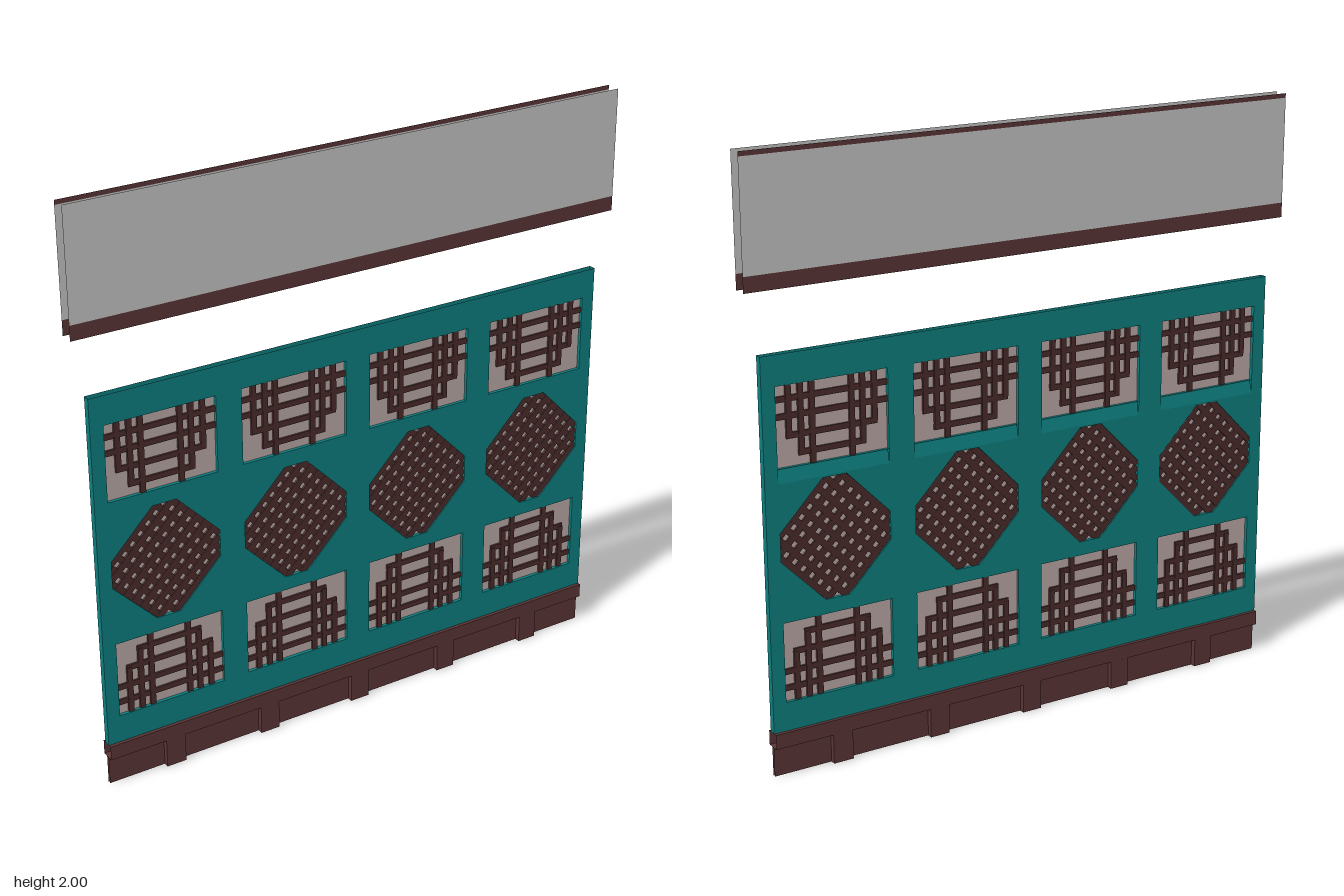
import * as THREE from 'three';

export function createModel() {
  const mat = (name, color) => {
    const m = new THREE.MeshStandardMaterial({ color, side: THREE.DoubleSide });
    m.name = name;
    return m;
  };
  const teal = mat('teal paint', 0x0d7f80);
  const brown = mat('brown wood', 0x5a3434);
  const dark = mat('dark lattice wood', 0x4a2b2b);
  const grey = mat('grey board', 0xc4c4c4);
  const paper = mat('window paper', 0xbba9a6);

  const root = new THREE.Group();
  root.name = 'latticeScreen';
  const add = (name, geo, material, x = 0, y = 0, z = 0, parent = root) => {
    const m = new THREE.Mesh(geo, material);
    m.name = name;
    m.position.set(x, y, z);
    parent.add(m);
    return m;
  };
  const sheet = (name, material, w, y0, y1, z, x = 0) => {
    const m = add(name, new THREE.PlaneGeometry(w, y1 - y0), material, x, (y0 + y1) / 2, z);
    if (z < 0) m.rotation.y = Math.PI;
    return m;
  };
  const box = (w, h, d) => new THREE.BoxGeometry(w, h, d);
  const vecs = (pts) => pts.map(([x, y]) => new THREE.Vector2(x, y));

  // Open band of quads running along an outline, from z = -d to z = d
  const band = (pts, d) => {
    const pos = [];
    pts.forEach(([ax, ay], i) => {
      const [bx, by] = pts[(i + 1) % pts.length];
      pos.push(ax, ay, -d, bx, by, -d, bx, by, d, ax, ay, -d, bx, by, d, ax, ay, d);
    });
    const g = new THREE.BufferGeometry();
    g.setAttribute('position', new THREE.Float32BufferAttribute(pos, 3));
    g.computeVertexNormals();
    return g;
  };

  const D = 0.012, HW = 0.192, WALL = 0.95;
  const columns = [-0.712, -0.237, 0.237, 0.712];
  const upper = [1.017, 1.279], lower = [0.247, 0.514];
  const octY = 0.763, octH = 0.201;
  const rect = (cx, [y0, y1]) => [[cx - HW, y0], [cx + HW, y0], [cx + HW, y1], [cx - HW, y1]];
  const octagon = (cx, cy) => [[0.042, -octH], [HW, -0.047], [HW, 0.047], [0.042, octH],
    [-0.042, octH], [-HW, 0.047], [-HW, -0.047], [-0.042, -octH]].map(([x, y]) => [cx + x, cy + y]);

  // Hollow wall: front and back skins with openings, plus end strips
  const skin = (upperBottom) => {
    const s = new THREE.Shape(vecs(rect(0, [0.15, 1.378]).map(([x, y]) => [Math.sign(x) * WALL, y])));
    for (const c of columns) {
      for (const o of [rect(c, [upperBottom, upper[1]]), octagon(c, octY), rect(c, lower)]) {
        s.holes.push(new THREE.Path(vecs(o)));
      }
    }
    return new THREE.ShapeGeometry(s);
  };
  add('wallFront', skin(upper[0]), teal, 0, 0, D);
  add('wallBack', skin(0.97), teal, 0, 0, -D).geometry.rotateY(Math.PI);
  for (const side of [-1, 1]) {
    add('wallEnd', new THREE.PlaneGeometry(2 * D, 1.228), teal, side * WALL, 0.764)
      .rotation.y = side * Math.PI / 2;
  }

  // Nested-arch lattice for the rectangular windows; flip = hanging version
  const archLattice = (cx, [y0, y1], flip) => {
    const g = new THREE.Group();
    g.name = 'archLattice';
    root.add(g);
    const h = y1 - y0, t = 0.019;
    const Y = (v) => (flip ? y1 - v : y0 + v);
    for (const [v, half] of [[0.045, HW], [0.1, HW], [0.163, 0.156], [0.222, 0.116]]) {
      add('latticeRail', box(half * 2, t, 0.014), dark, cx, Y(v), 0, g);
    }
    for (const [x, top] of [[0.147, 0.163], [0.106, 0.222], [0.068, h]]) {
      for (const s of [-1, 1]) {
        add('latticeUpright', box(t, top, 0.017), dark, cx + s * x, Y(top / 2), 0, g);
      }
    }
  };

  // Diagonal lattice: each bar is clipped to the octagon
  const diagonalLattice = (cx) => {
    const g = new THREE.Group();
    g.name = 'diagonalLattice';
    root.add(g);
    const pts = octagon(0, 0);
    for (const s of [-1, 1]) {
      for (let k = -5; k <= 5; k++) {
        const dir = new THREE.Vector2(1, s).normalize();
        const p = new THREE.Vector2(-dir.y, dir.x).multiplyScalar(k * 0.04);
        let t0 = -1, t1 = 1;
        pts.forEach(([ax, ay], i) => {
          const [bx, by] = pts[(i + 1) % pts.length];
          const nx = by - ay, ny = ax - bx;
          const dist = (ax - p.x) * nx + (ay - p.y) * ny;
          const rate = dir.x * nx + dir.y * ny;
          if (Math.abs(rate) < 1e-6) { if (dist < 0) t1 = -2; }
          else if (rate > 0) t1 = Math.min(t1, dist / rate);
          else t0 = Math.max(t0, dist / rate);
        });
        if (t1 - t0 < 0.02) continue;
        const mid = p.clone().addScaledVector(dir, (t0 + t1) / 2);
        add('diagonalBar', box(t1 - t0, 0.022, s > 0 ? 0.016 : 0.014), dark,
          cx + mid.x, octY + mid.y, 0, g).rotation.z = s * Math.PI / 4;
      }
    }
  };

  for (const c of columns) {
    // Paper panes and the reveals around each opening
    for (const [name, o] of [['upperWindow', rect(c, upper)], ['octagonWindow', octagon(c, octY)],
      ['lowerWindow', rect(c, lower)]]) {
      add(name + 'Paper', new THREE.ShapeGeometry(new THREE.Shape(vecs(o))), paper);
      add(name + 'Reveal', band(o, D), teal);
    }
    archLattice(c, upper, true);
    archLattice(c, lower, false);
    diagonalLattice(c);
    // Sloped face under the upper window at the back
    const slope = add('backSillSlope', new THREE.PlaneGeometry(2 * HW, Math.hypot(0.047, 0.01)),
      teal, c, 0.9935, -0.007);
    slope.rotation.set(Math.atan2(0.01, 0.047), Math.PI, 0);
  }

  // Base: rail with open ends, short legs and recessed skirting
  const Z = 0.024;
  for (const z of [Z, -Z]) sheet('baseRailFace', brown, 2 * WALL, 0.1, 0.15, z);
  add('baseRailTop', new THREE.PlaneGeometry(2 * WALL, 2 * Z), brown, 0, 0.15).rotation.x = -Math.PI / 2;
  add('baseRailUnderside', new THREE.PlaneGeometry(2 * WALL, 2 * Z), brown, 0, 0.1).rotation.x = Math.PI / 2;
  for (let i = -2; i <= 2; i++) add('baseLeg', box(0.07, 0.1, 2 * Z), brown, i * 0.357, 0.05);
  for (const z of [0.005, -0.005]) sheet('skirting', brown, 2 * WALL, 0, 0.1, z);

  // Header board: two separate sheets with brown trim
  sheet('headerFront', grey, 2, 1.63, 2, Z);
  sheet('headerBack', grey, 2, 1.63, 1.985, -Z);
  sheet('headerBackTopTrim', brown, 2, 1.985, 2, -Z);
  for (const z of [Z, -Z]) sheet('headerBottomTrim', brown, 2, 1.58, 1.63, z);

  return root;
}
